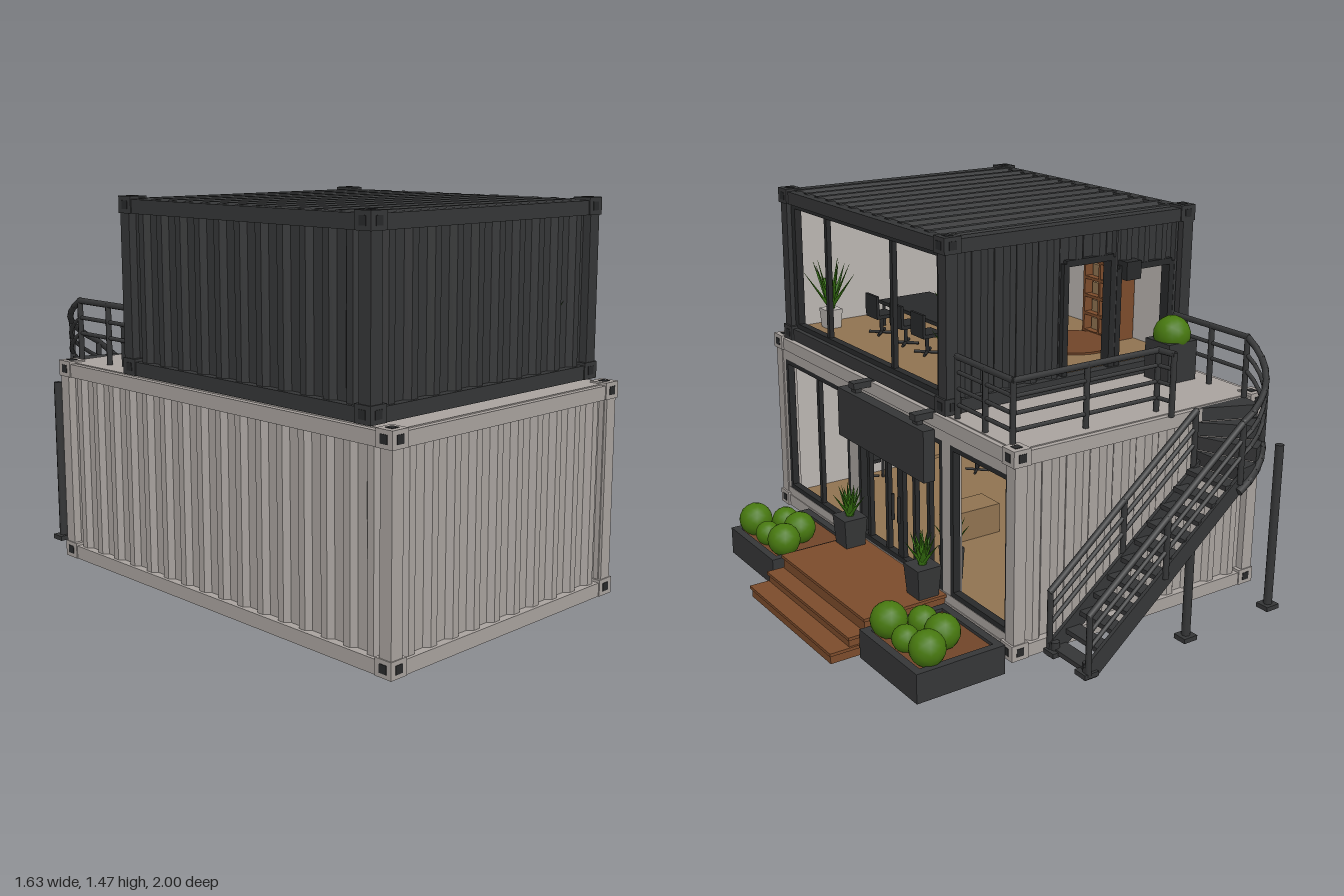
import * as THREE from 'three';

const mat = (name, color) => Object.assign(new THREE.MeshStandardMaterial({ color }), { name });
const M = {
  pale: mat('paleSteel', 0xa8a29e), dark: mat('charcoalSteel', 0x353637), black: mat('blackMetal', 0x28292a),
  wall: mat('interiorWhite', 0xbab5b1), floor: mat('floorWood', 0x8f7250), deck: mat('deckWood', 0x7b4b2b),
  soil: mat('soil', 0x704529), bush: mat('bushGreen', 0x47780f), leaf: mat('leafGreen', 0x35700f),
};
const V = (x, y, z) => new THREE.Vector3(x, y, z);

function add(parent, name, geo, m, x = 0, y = 0, z = 0) {
  const mesh = new THREE.Mesh(geo, m);
  mesh.name = name;
  mesh.position.set(x, y, z);
  parent.add(mesh);
  return mesh;
}
function group(parent, name) {
  const g = new THREE.Group();
  g.name = name;
  parent.add(g);
  return g;
}
// box given by its extents
function box(p, name, m, x0, x1, y0, y1, z0, z1) {
  return add(p, name, new THREE.BoxGeometry(x1 - x0, y1 - y0, z1 - z0), m, (x0 + x1) / 2, (y0 + y1) / 2, (z0 + z1) / 2);
}
function bar(p, name, m, a, b, r) {
  const d = b.clone().sub(a);
  const mesh = add(p, name, new THREE.CylinderGeometry(r, r, d.length() + r, 8), m);
  mesh.position.copy(a).add(b).multiplyScalar(0.5);
  mesh.quaternion.setFromUnitVectors(V(0, 1, 0), d.normalize());
  return mesh;
}
// ribbed sheet: runs along x, ribs rise in +y, extruded along z
function ribbed(length, depth, pitch = 0.1) {
  const n = Math.max(1, Math.round(length / pitch)), p = length / n, s = new THREE.Shape();
  s.moveTo(-length / 2, -0.01);
  s.lineTo(length / 2, -0.01);
  for (let i = n - 1; i >= 0; i--) {
    const x = -length / 2 + i * p;
    [[1, 0], [0.8, 0], [0.62, 0.018], [0.35, 0.018], [0.18, 0]].forEach(([u, v]) => s.lineTo(x + u * p, v));
  }
  s.lineTo(-length / 2, 0);
  return new THREE.ExtrudeGeometry(s, { depth, bevelEnabled: false });
}
// upright ribbed wall; turn 0 faces -z, PI faces +z, PI/2 faces -x
function ribbedWall(p, name, m, length, y0, y1, x, z, turn) {
  add(p, name, ribbed(length, y1 - y0).rotateX(-Math.PI / 2), m, x, y0, z).rotation.y = turn;
}

// container shell open towards +x; backParts are the closed rectangles [x0,x1,y0,y1] of the back wall
function container(root, name, m, [x0, x1], [y0, y1], [z0, z1], backParts, flatRoof) {
  const g = group(root, name), t = 0.05, c = 0.07, ins = 0.01;
  for (const [i, x] of [x0, x1].entries()) {
    const xa = i ? x - t : x, cx = i ? x - c + 0.008 : x - 0.004;
    for (const [j, z] of [z0, z1].entries()) {
      const za = j ? z - t : z, cz = j ? z - c + 0.004 : z - 0.004;
      box(g, 'cornerPost', m, xa, xa + t, y0, y1 - ins, za, za + t);
      for (const y of [y0, y1 - 0.06]) {
        box(g, 'cornerCasting', m, cx, cx + c, y, y + 0.06, cz, cz + c);
        box(g, 'castingHole', M.black, cx + 0.02, cx + 0.05, y + 0.015, y + 0.045, j ? cz + c - 0.004 : cz - 0.002, j ? cz + c + 0.002 : cz + 0.004);
        box(g, 'castingHole', M.black, i ? cx + c - 0.004 : cx - 0.002, i ? cx + c + 0.002 : cx + 0.004, y + 0.015, y + 0.045, cz + 0.02, cz + 0.05);
      }
      box(g, 'castingHole', M.black, cx + 0.02, cx + 0.05, y1 - 0.004, y1 + 0.002, cz + 0.02, cz + 0.05);
    }
    for (const y of [y0, y1 - t - ins]) box(g, 'sideBeam', m, xa, xa + t, y, y + t, z0, z1);
  }
  for (const z of [z0, z1 - t]) for (const y of [y0, y1 - t - ins]) box(g, 'endBeam', m, x0, x1, y, y + t, z, z + t);

  const xm = (x0 + x1) / 2, zm = (z0 + z1) / 2, lx = x1 - x0 - 0.1, lz = z1 - z0 - 0.1;
  ribbedWall(g, 'frontWall', m, lx, y0 + 0.03, y1 - 0.04, xm, z1 - 0.03, Math.PI);
  ribbedWall(g, 'sideWall', m, lz, y0 + 0.03, y1 - 0.04, x0 + 0.03, zm, Math.PI / 2);
  box(g, 'frontLining', M.wall, x0 + 0.04, x1 - 0.03, y0 + 0.03, y1 - 0.04, z1 - 0.055, z1 - 0.045);
  box(g, 'sideLining', M.wall, x0 + 0.045, x0 + 0.055, y0 + 0.03, y1 - 0.04, z0 + 0.04, z1 - 0.04);
  for (const [a, b, c0, c1] of backParts) {
    ribbedWall(g, 'backWall', m, b - a, c0, c1, (a + b) / 2, z0 + 0.03, 0);
    box(g, 'backLining', M.wall, a, b, c0, c1, z0 + 0.042, z0 + 0.052);
  }
  // floor and roof
  box(g, 'underside', m, x0 + 0.02, x1 - 0.02, y0 + 0.005, y0 + 0.03, z0 + 0.02, z1 - 0.02);
  box(g, 'floor', M.floor, x0 + 0.04, x1 - 0.04, y0 + 0.03, y0 + 0.055, z0 + 0.04, z1 - 0.04);
  if (flatRoof) box(g, 'terraceRoof', m, x0 + 0.02, x1 - 0.02, y1 - 0.035, y1 - 0.006, z0 + 0.02, z1 - 0.02);
  else add(g, 'ribbedRoof', ribbed(z1 - z0 - 0.06, x1 - x0 - 0.06, 0.09), m, x0 + 0.03, y1 - 0.024, zm).rotation.y = Math.PI / 2;
  return g;
}
// glazing frame in the open side, with upright dividers
function sideFrame(p, name, x, z0, z1, y0, y1, dividers = [], w = 0.02) {
  const g = group(p, name);
  for (const z of [z0, z1 - w]) box(g, 'jamb', M.black, x - 0.02, x + 0.01, y0, y1, z, z + w);
  for (const y of [y0, y1 - w]) box(g, 'rail', M.black, x - 0.02, x + 0.01, y, y + w, z0, z1);
  for (const z of dividers) box(g, 'divider', M.black, x - 0.015, x + 0.005, y0, y1, z - 0.01, z + 0.01);
}
function spikyPlant(p, x, y, z, m, potH, size, w = 0.1) {
  const g = group(p, 'pottedPlant');
  g.position.set(x, y, z);
  const pot = new THREE.CylinderGeometry(w * 0.72, w * 0.6, potH, 4).rotateY(Math.PI / 4);
  pot.computeVertexNormals();
  add(g, 'pot', pot.toNonIndexed(), m, 0, potH / 2, 0).geometry.computeVertexNormals();
  for (let i = 0; i < 14; i++) {
    const leaf = new THREE.ConeGeometry(0.017, size * (1 - 0.02 * i), 5).translate(0, size * 0.45, 0).scale(1, 1, 0.45);
    const mesh = add(g, 'leaf', leaf, M.leaf, 0, potH, 0);
    mesh.rotation.set(0.1 + 0.045 * i, i * 2.4, 0, 'YXZ');
  }
}
function chair(p, x, y, z, turn = 0) {
  const g = group(p, 'chair');
  g.position.set(x, y, z);
  g.rotation.y = turn;
  box(g, 'seat', M.black, -0.045, 0.045, 0.075, 0.09, -0.045, 0.045);
  box(g, 'backrest', M.black, 0.035, 0.047, 0.085, 0.17, -0.045, 0.045);
  bar(g, 'stem', M.black, V(0, 0.01, 0), V(0, 0.08, 0), 0.008);
  for (const s of [-1, 1]) bar(g, 'foot', M.black, V(-0.035, 0.008, s * 0.035), V(0.035, 0.008, -s * 0.035), 0.006);
}
function table(p, name, m, x0, x1, y0, y1, z0, z1) {
  const g = group(p, name);
  box(g, 'top', m, x0, x1, y1 - 0.015, y1, z0, z1);
  for (const x of [x0 + 0.015, x1 - 0.015]) for (const z of [z0 + 0.015, z1 - 0.015]) bar(g, 'leg', M.black, V(x, y0, z), V(x, y1 - 0.01, z), 0.007);
}
// railing above a base path: stacked rails, with posts at chosen points
function railing(p, path, posts, heights = [0.05, 0.11, 0.17, 0.225]) {
  const g = group(p, 'railing'), up = (v, h) => v.clone().add(V(0, h, 0));
  for (const h of heights) for (let i = 1; i < path.length; i++) bar(g, 'rail', M.dark, up(path[i - 1], h), up(path[i], h), h > 0.2 ? 0.012 : 0.008);
  for (const v of posts) bar(g, 'post', M.dark, v, up(v, 0.225), 0.011);
}

export function createModel() {
  const root = new THREE.Group();
  root.name = 'containerHouse';

  // lower container and its glazed side
  const low = container(root, 'lowerContainer', M.pale, [-0.81, 0.325], [0.06, 0.835], [-0.755, 0.99], [[-0.76, 0.275, 0.09, 0.795]], true);
  for (const [a, b] of [[0.31, 0.375], [-0.355, -0.305], [0.92, 0.98], [-0.74, -0.715]]) box(low, 'pier', M.pale, 0.27, 0.32, 0.08, 0.8, a, b);
  box(low, 'sill', M.pale, 0.27, 0.322, 0.08, 0.145, -0.74, 0.97);
  box(low, 'lintel', M.pale, 0.27, 0.322, 0.735, 0.81, -0.74, 0.97);
  sideFrame(low, 'frontWindow', 0.31, 0.375, 0.92, 0.145, 0.735, [0.645]);
  sideFrame(low, 'backWindow', 0.31, -0.715, -0.355, 0.145, 0.735);
  sideFrame(low, 'doorFrame', 0.31, -0.305, 0.31, 0.145, 0.735, [0.24, 0.1, 0.01, -0.01, -0.1, -0.2]);
  for (const z of [0.022, -0.022]) bar(low, 'doorHandle', M.black, V(0.335, 0.32, z), V(0.335, 0.42, z), 0.007);

  // upper container
  const up = container(root, 'upperContainer', M.dark, [-0.81, 0.32], [0.835, 1.47], [-0.335, 0.9],
    [[-0.76, -0.72, 0.87, 1.43], [-0.72, -0.46, 1.26, 1.43], [-0.46, -0.43, 0.87, 1.43], [-0.43, -0.21, 1.31, 1.43], [-0.21, 0.27, 0.87, 1.43]], false);
  sideFrame(up, 'panoramaWindow', 0.29, -0.285, 0.85, 0.875, 1.42, [0.57, 0.07, -0.25], 0.03);
  for (const [a, b, y] of [[-0.43, -0.21, 1.31], [-0.72, -0.46, 1.26]]) {
    for (const x of [a, b]) box(up, 'backDoorJamb', M.black, x - 0.012, x + 0.012, 0.87, y, -0.325, -0.28);
    box(up, 'backDoorHead', M.black, a, b, y - 0.012, y + 0.012, -0.325, -0.28);
  }
  box(up, 'wallLamp', M.black, -0.54, -0.47, 1.22, 1.29, -0.355, -0.3);

  // canopy board over the entrance
  const canopy = group(root, 'canopy');
  box(canopy, 'board', M.dark, 0.36, 0.408, 0.595, 0.79, -0.32, 0.3);
  for (const z of [0.205, -0.235]) {
    box(canopy, 'bracketArm', M.dark, 0.31, 0.4, 0.805, 0.83, z - 0.02, z + 0.02);
    box(canopy, 'bracketDrop', M.dark, 0.365, 0.39, 0.78, 0.82, z - 0.015, z + 0.015);
  }

  // deck with two steps, planked
  const deck = group(root, 'deck');
  for (let i = 0; i < 3; i++) {
    const x1 = [0.67, 0.735, 0.81][i], y = [0.14, 0.085, 0.045][i];
    box(deck, 'step', M.deck, 0.32, x1 - 0.006, i ? 0 : 0.01, y - 0.014, -0.322, 0.312);
    box(deck, 'planking', M.deck, 0.32, x1, y - 0.012, y, -0.33, 0.32);
  }
  for (const z of [0.265, -0.275]) spikyPlant(root, 0.39, 0.14, z, M.dark, 0.12, 0.145, 0.1);

  // planters with round bushes
  for (const s of [1, -1]) {
    const g = group(root, 'planter'), [a, b] = s > 0 ? [0.348, 0.73] : [-0.72, -0.338], c = (a + b) / 2;
    box(g, 'base', M.dark, 0.34, 0.69, 0, 0.085, a + 0.005, b - 0.005);
    for (const [x0, x1, z0, z1] of [[0.335, 0.365, a, b], [0.665, 0.695, a, b], [0.335, 0.695, a, a + 0.03], [0.335, 0.695, b - 0.03, b]]) box(g, 'rim', M.dark, x0, x1, 0, 0.112, z0, z1);
    box(g, 'soil', M.soil, 0.36, 0.67, 0.08, 0.1, a + 0.02, b - 0.02);
    [[0.61, -0.125, 0.066], [0.505, -0.055, 0.066], [0.62, 0, 0.05], [0.505, 0.07, 0.055], [0.615, 0.12, 0.068]]
      .forEach(([x, z, r]) => add(g, 'bush', new THREE.IcosahedronGeometry(r, 2), M.bush, x, 0.09 + r, c + z));
  }

  // terrace planter
  box(root, 'terracePot', M.dark, -0.715, -0.575, 0.83, 0.985, -0.49, -0.355);
  add(root, 'terraceBush', new THREE.IcosahedronGeometry(0.072, 2), M.bush, -0.645, 1.005, -0.425);

  // stairs: straight flight, then a quarter turn up to the terrace
  const stairs = group(root, 'stairs'), n = 11;
  const flightY = x => 0.07 + (0.18 - x) / 0.66 * 0.55;
  for (let i = 0; i < n; i++) {
    const x = 0.18 - (i + 1) * 0.06, y = 0.085 + i * 0.053;
    box(stairs, 'tread', M.dark, x - 0.005, x + 0.058, y - 0.018, y, -0.975, -0.775);
  }
  for (const z of [-0.775, -0.975]) {
    const s = new THREE.Shape([[0.19, 0.05], [0.19, 0.1], [-0.48, 0.64], [-0.48, 0.57], [0.14, 0.05]].map(q => new THREE.Vector2(...q)));
    add(stairs, 'stringer', new THREE.ExtrudeGeometry(s, { depth: 0.014, bevelEnabled: false }), M.dark, 0, 0, z - 0.007);
  }
  const turn = (t, y, r = 0.24) => V(-0.48 - r * Math.sin(t * Math.PI / 2), y, -0.745 - r * Math.cos(t * Math.PI / 2));
  for (let i = 0; i < 4; i++) {
    const s = new THREE.Shape([new THREE.Vector2(-0.48, -0.745)]);
    s.moveTo(-0.48, -0.745);
    for (let k = 0; k <= 3; k++) { const v = turn((i + k / 3) / 4, 0); s.lineTo(v.x, v.z); }
    add(stairs, 'winderTread', new THREE.ExtrudeGeometry(s, { depth: 0.05, bevelEnabled: false }).rotateX(Math.PI / 2), M.dark, 0, 0.67 + i * 0.052, 0);
  }
  const curve = [];
  for (let k = 0; k <= 8; k++) curve.push(turn(1 - k / 8, 0.83 - 0.21 * k / 8));
  const foot = V(0.18, 0.07, -0.985), top = V(-0.72, 0.83, -0.36);
  for (let k = 1; k < 9; k++) bar(stairs, 'curvedStringer', M.dark, curve[k - 1].clone().setY(curve[k - 1].y - 0.03), curve[k].clone().setY(curve[k].y - 0.03), 0.016);
  railing(stairs, [top, ...curve, foot], [top, V(-0.72, 0.83, -0.56), curve[0], curve[4], curve[8], V(-0.15, flightY(-0.15), -0.985), foot], [0.1, 0.16, 0.225]);
  const inner = [-0.46, -0.14, 0.18].map(x => V(x, flightY(x), -0.77));
  railing(stairs, inner, inner, [0.1, 0.16, 0.225]);
  railing(root, [V(0.29, 0.83, -0.36), V(0.29, 0.83, -0.69), V(-0.34, 0.83, -0.69), V(-0.35, 0.83, -0.76)],
    [V(0.29, 0.83, -0.36), V(0.29, 0.83, -0.53), V(0.29, 0.83, -0.69), V(-0.02, 0.83, -0.69), V(-0.34, 0.83, -0.69), V(-0.35, 0.83, -0.76)]);
  for (const [x, z, y] of [[-0.7, -0.955, 0.7], [-0.28, -0.965, 0.44], [0.17, -0.965, 0.1], [0.17, -0.79, 0.1]]) {
    bar(stairs, 'support', M.dark, V(x, 0.07, z), V(x, y, z), 0.016);
    box(stairs, 'footPlate', M.dark, x - 0.03, x + 0.03, 0.06, 0.078, z - 0.028, z + 0.028);
  }

  // ground floor furniture
  const gf = group(root, 'groundFloorFurniture'), f0 = 0.115, f1 = 0.89;
  table(gf, 'desk', M.floor, -0.35, -0.1, f0, 0.3, 0.55, 0.88);
  box(gf, 'monitor', M.black, -0.25, -0.235, 0.32, 0.41, 0.65, 0.77);
  chair(gf, 0.02, f0 + 0.06, 0.77);
  chair(gf, -0.45, f0 + 0.04, 0.6, Math.PI);
  box(gf, 'lowCabinet', M.floor, -0.2, 0, f0, 0.24, 0.07, 0.2);
  table(gf, 'sideTable', M.floor, -0.3, 0, f0, 0.25, -0.6, -0.37);
  bar(gf, 'lampStem', M.floor, V(-0.15, 0.25, -0.43), V(-0.15, 0.37, -0.43), 0.012);
  add(gf, 'lampShade', new THREE.CylinderGeometry(0.03, 0.052, 0.07, 16), M.wall, -0.15, 0.4, -0.43);
  spikyPlant(gf, 0.2, f0, -0.18, M.dark, 0.13, 0.15, 0.07);

  // upper floor furniture
  const uf = group(root, 'upperFloorFurniture');
  table(uf, 'meetingTable', M.black, -0.25, 0.0, f1, 1.0, 0.13, 0.67);
  for (const z of [0.2, 0.36, 0.55]) { chair(uf, 0.06, f1, z); chair(uf, -0.31, f1, z, Math.PI); }
  spikyPlant(uf, -0.12, 1.0, 0.36, M.wall, 0.03, 0.08, 0.035);
  spikyPlant(uf, 0.18, f1, 0.76, M.wall, 0.08, 0.24, 0.07);
  spikyPlant(uf, 0.18, f1, -0.18, M.wall, 0.08, 0.19, 0.07);
  add(uf, 'roundRug', new THREE.CylinderGeometry(0.17, 0.17, 0.008, 28), M.soil, -0.5, f1 + 0.004, 0.0);
  box(uf, 'bookcaseBack', M.deck, -0.75, -0.735, f1, 1.2, -0.08, 0.12);
  for (const z of [-0.08, 0.015, 0.11]) box(uf, 'bookcaseSide', M.deck, -0.75, -0.65, f1, 1.2, z, z + 0.012);
  for (let i = 0; i < 5; i++) box(uf, 'shelf', M.deck, -0.75, -0.65, f1 + i * 0.075, f1 + 0.012 + i * 0.075, -0.08, 0.12);
  for (let i = 0; i < 4; i++) box(uf, 'books', M.floor, -0.735, -0.68, f1 + 0.012 + i * 0.075, f1 + 0.06 + i * 0.075, 0.03, 0.1);
  bar(uf, 'pendantLight', M.wall, V(-0.12, 1.28, 0.13), V(-0.12, 1.28, 0.49), 0.018);
  for (const z of [0.18, 0.44]) bar(uf, 'pendantCord', M.black, V(-0.12, 1.28, z), V(-0.12, 1.44, z), 0.004);
  return root;
}
